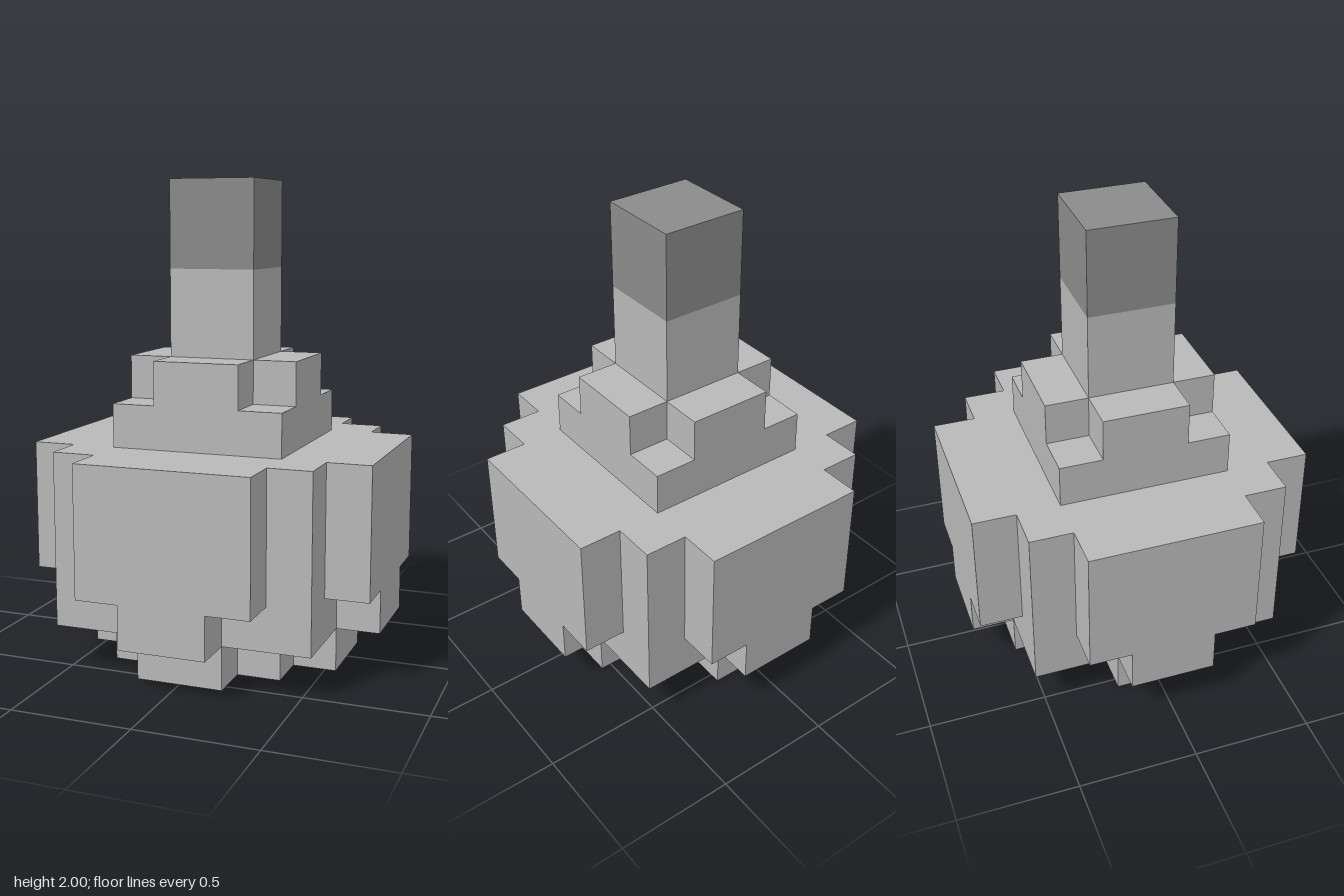
import * as THREE from 'three';

const U = 2 / 11; // one cubic block

// Stepped plan with four-fold symmetry, from the outer corners of one quadrant
function steppedPlan(corners) {
  const quadrant = [];
  corners.forEach(([x, y], i) => {
    if (i > 0) quadrant.push([x, corners[i - 1][1]]);
    quadrant.push([x, y]);
  });
  const points = [];
  for (let turn = 0; turn < 4; turn++) {
    for (const [x, y] of quadrant) {
      const [px, py] = [[x, y], [-y, x], [-x, -y], [y, -x]][turn];
      points.push(new THREE.Vector2(px * U, py * U));
    }
  }
  return new THREE.Shape(points);
}

export function createModel() {
  const group = new THREE.Group();

  const lightGrey = new THREE.MeshStandardMaterial({ color: 0xb9b9b9 });
  lightGrey.name = 'light grey';
  const darkGrey = new THREE.MeshStandardMaterial({ color: 0x8b8b8b });
  darkGrey.name = 'dark grey';

  // Layers from the ground up: name, first block row, rows high, quadrant corners, material
  const layers = [
    ['base', 0, 1, [[3, 1], [2, 2], [1, 3]], lightGrey],
    ['lowerBody', 1, 1, [[4, 1], [3, 3], [1, 4]], lightGrey],
    ['body', 2, 3, [[4, 2], [3, 3], [2, 4]], lightGrey],
    ['shoulder', 5, 1, [[2, 2]], lightGrey],
    ['collar', 6, 1, [[2, 1], [1, 2]], lightGrey],
    ['neck', 7, 2, [[1, 1]], lightGrey],
    ['cap', 9, 2, [[1, 1]], darkGrey],
  ];

  for (const [name, row, rows, corners, material] of layers) {
    const geometry = new THREE.ExtrudeGeometry(steppedPlan(corners), {
      depth: rows * U,
      bevelEnabled: false,
    });
    geometry.rotateX(-Math.PI / 2);
    const mesh = new THREE.Mesh(geometry, material);
    mesh.name = name;
    mesh.position.y = row * U;
    group.add(mesh);
  }
  return group;
}
